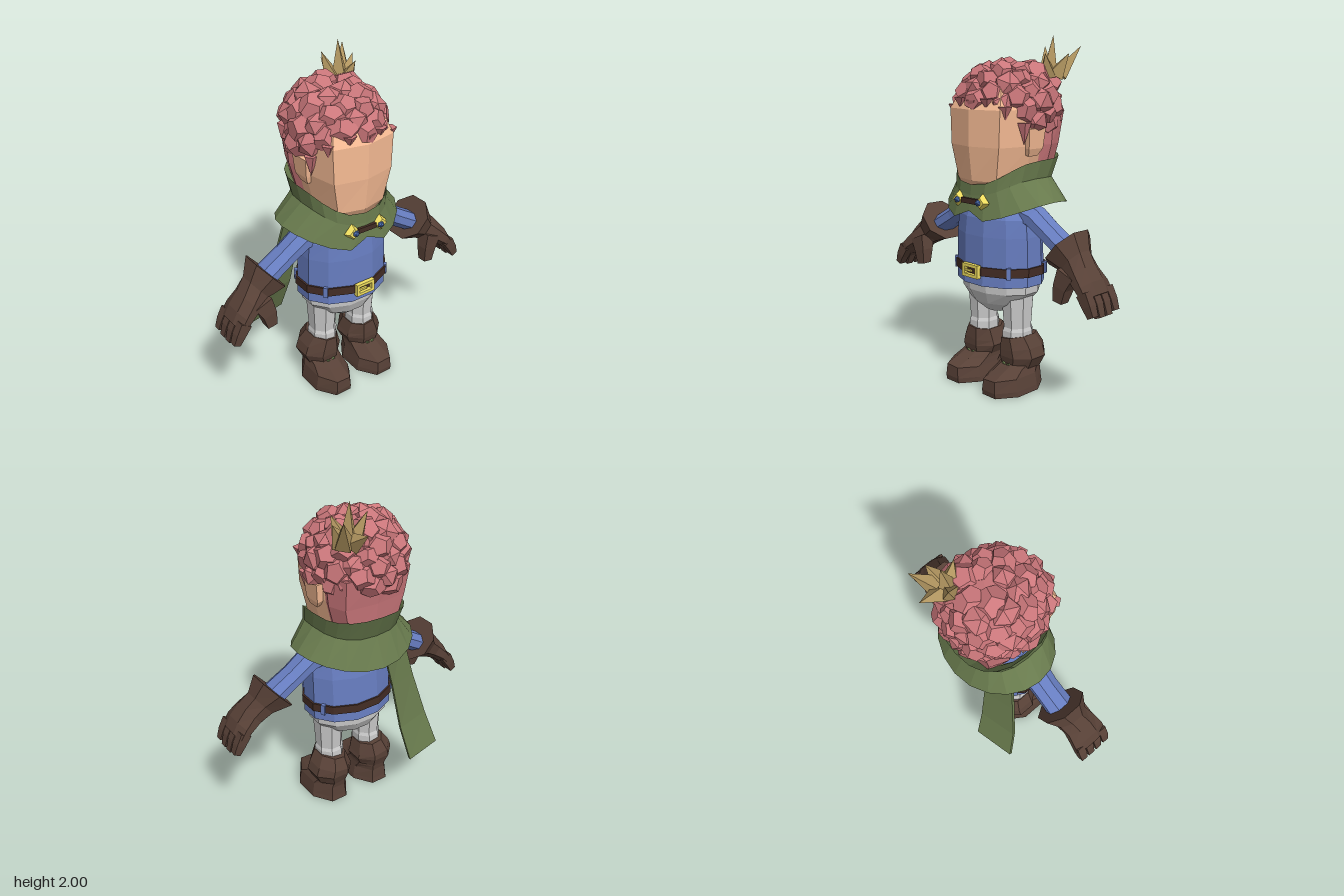
import * as THREE from 'three';

const COLORS = {
  skin: 0xf6bb94, hair: 0xcb777b, green: 0x687a4d, blue: 0x677dc0, brown: 0x584137,
  belt: 0x432c24, gold: 0xb29660, yellow: 0xf0de60, gem: 0x4a6cb0, grey: 0xcccccc,
};
const mats = {};
for (const k in COLORS) {
  mats[k] = new THREE.MeshStandardMaterial({ color: COLORS[k], flatShading: true, side: THREE.DoubleSide });
}

// Skin a list of equal-length point rings, optionally capped at both ends
function loft(rings, caps = true) {
  const pos = [], n = rings[0].length;
  const tri = (...pts) => pts.forEach(p => pos.push(p.x, p.y, p.z));
  for (let i = 0; i + 1 < rings.length; i++) for (let j = 0; j < n; j++) {
    const k = (j + 1) % n, a = rings[i], b = rings[i + 1];
    tri(a[j], a[k], b[k]);
    tri(a[j], b[k], b[j]);
  }
  if (caps) [rings[0], rings[rings.length - 1]].forEach((r, end) => {
    const c = r.reduce((s, p) => s.add(p), new THREE.Vector3()).divideScalar(n);
    r.forEach((p, j) => end ? tri(c, p, r[(j + 1) % n]) : tri(c, r[(j + 1) % n], p));
  });
  const g = new THREE.BufferGeometry();
  g.setAttribute('position', new THREE.Float32BufferAttribute(pos, 3));
  g.computeVertexNormals();
  return g;
}

const pow = (v, p) => Math.sign(v) * Math.abs(v) ** p;

// Limb through sections [x, y, z, half width in x, half thickness across]
function limb(sections, { n = 8, p = 1, turn = 0.5 } = {}) {
  const k = turn ? 1 / Math.cos(Math.PI / n) : 1;
  const c = sections.map(s => new THREE.Vector3(s[0], s[1], s[2]));
  return loft(sections.map((s, i) => {
    const t = c[Math.min(i + 1, c.length - 1)].clone().sub(c[Math.max(i - 1, 0)]);
    const across = new THREE.Vector3(0, t.z, -t.y).normalize();
    return Array.from({ length: n }, (_, j) => {
      const a = (j + turn) / n * Math.PI * 2;
      const q = c[i].clone().addScaledVector(across, pow(Math.sin(a), p) * s[4] * k);
      q.x += pow(Math.cos(a), p) * s[3] * k;
      return q;
    });
  }));
}

function seeded(seed) {
  return () => (seed = (seed * 16807) % 2147483647) / 2147483647;
}

// Cone from a base point to a tip
function spike(from, to, r, sides = 4) {
  const a = new THREE.Vector3(...from), d = new THREE.Vector3(...to).sub(a);
  const g = new THREE.ConeGeometry(r, d.length(), sides).translate(0, d.length() / 2, 0);
  g.applyQuaternion(new THREE.Quaternion().setFromUnitVectors(new THREE.Vector3(0, 1, 0), d.normalize()));
  return g.translate(a.x, a.y, a.z);
}

export function createModel() {
  const model = new THREE.Group();
  const add = (name, geo, mat, parent = model) => {
    const m = new THREE.Mesh(geo, mats[mat]);
    m.name = name;
    parent.add(m);
    return m;
  };

  // Head, with a smooth cap of hair at the nape
  add('head', limb([[.06, 1.13, 0, .18, .14], [.06, 1.21, 0, .23, .185], [.06, 1.4, 0, .25, .23],
    [.05, 1.6, 0, .26, .24], [.04, 1.73, 0, .2, .18]], { p: .54, turn: 0 }), 'skin');
  add('napeHair', limb([[-.09, 1.2, 0, .11, .18], [-.1, 1.4, 0, .125, .235],
    [-.1, 1.58, 0, .16, .25]], { p: .54, turn: 0 }), 'hair');

  // Curly hair: a core covered in chunky faceted lumps above the hairline
  const hair = new THREE.Group();
  hair.name = 'hair';
  model.add(hair);
  add('hairCore', new THREE.IcosahedronGeometry(1, 2).scale(.26, .215, .25).translate(0, 1.62, 0), 'hair', hair);
  const rnd = seeded(41), lumps = 90;
  for (let i = 0; i < lumps; i++) {
    const h = 1 - 2 * (i + .5) / lumps, a = i * 2.39996, r = Math.sqrt(1 - h * h) ** .7;
    const x = Math.cos(a) * r * .243, y = 1.6 + h * .205, z = Math.sin(a) * r * .23;
    const hairline = x < 0 ? 1.5 : 1.5 + x * .6;
    const size = .07 + rnd() * .018;
    if (y < hairline) continue;
    const g = i % 3 ? new THREE.DodecahedronGeometry(size, 0) : new THREE.IcosahedronGeometry(size, 0);
    g.scale(.85 + rnd() * .3, .85 + rnd() * .3, .85 + rnd() * .3);
    g.rotateX(rnd() * 6).rotateY(rnd() * 6).translate(x, y, z);
    add('curl', g, 'hair', hair);
  }
  for (const [x, y, z, len] of [[.285, 1.65, -.01, .08], [.275, 1.66, .1, .06], [.27, 1.66, -.1, .06],
    [.23, 1.62, .2, .08], [.23, 1.62, -.2, .08], [.12, 1.53, .235, .12], [.12, 1.53, -.235, .12]]) {
    add('fringe', spike([x, y, z], [x, y - len, z], .04, 5), 'hair', hair);
  }

  // Small spiky crown on the back right of the head
  const crown = new THREE.Group();
  crown.name = 'crown';
  model.add(crown);
  for (const tip of [[-.19, 2, -.16], [-.34, 1.86, -.15], [-.3, 1.94, -.27], [-.08, 1.9, -.2],
    [-.22, 1.94, -.07], [-.2, 1.9, -.27]]) {
    add('crownPoint', spike([-.17 + (tip[0] + .2) * .3, 1.78, -.16 + (tip[2] + .17) * .4], tip, .058), 'gold', crown);
  }

  // Collar: [centre x, rx, rz, y at front, side, back, roundness]
  const N = 20;
  const collar = [[.05, .2, .2, 1.1, 1.12, 1.1, 1], [.02, .315, .37, .99, 1.1, 1.03, 1],
    [.04, .26, .25, 1.13, 1.22, 1.2, .8], [.01, .285, .26, 1.19, 1.32, 1.34, .8],
    [.04, .22, .22, 1.13, 1.22, 1.22, .8]];
  add('collar', loft(collar.map(([cx, rx, rz, yf, ys, yb, p], i) => Array.from({ length: N }, (_, j) => {
    const a = j / N * Math.PI * 2, f = Math.cos(a);
    const notch = i === 1 && j === 0 ? .055 : 0;
    return new THREE.Vector3(cx + pow(f, p) * rx - notch * .4,
      ys + ((f > 0 ? yf : yb) - ys) * f * f + notch, -pow(Math.sin(a), p) * rz);
  })), false), 'green');

  // Scarf tail: [y, inner x, inner z, outer x, outer z], a thin slanted strip
  const tail = [[.31, -.305, .2, -.25, .45], [.52, -.24, .17, -.185, .4],
    [.8, -.19, .14, -.135, .33], [1.08, -.17, .08, -.1, .27]];
  add('scarfTail', loft(tail.map(([y, x0, z0, x1, z1]) => [[x0 - .008, z0], [x1 - .008, z1],
    [x1 + .008, z1], [x0 + .008, z0]].map(([x, z]) => new THREE.Vector3(x, y, z)))), 'green');

  // Collar clasp
  add('claspStrap', new THREE.BoxGeometry(.02, .03, .12).translate(.306, 1.1, 0), 'belt');

  // Tunic and belt
  add('tunic', limb([[.07, .62, 0, .215, .272], [.07, .7, 0, .21, .272], [.075, .9, 0, .2, .27],
    [.08, 1, 0, .185, .26], [.07, 1.12, 0, .15, .19]], { n: 12 }), 'blue');
  add('belt', limb([[.07, .68, 0, .22, .283], [.07, .73, 0, .218, .283]], { n: 12 }), 'belt');
  const frame = new THREE.Shape([[-.062, -.038], [.062, -.038], [.062, .038], [-.062, .038]]
    .map(q => new THREE.Vector2(...q)));
  frame.holes.push(new THREE.Path([[-.042, -.02], [-.042, .02], [.042, .02], [.042, -.02]]
    .map(q => new THREE.Vector2(...q))));
  add('buckle', new THREE.ExtrudeGeometry(frame, { depth: .025, bevelEnabled: false })
    .rotateY(Math.PI / 2).translate(.288, .702, 0), 'yellow');
  add('bucklePin', new THREE.BoxGeometry(.012, .012, .06).translate(.305, .702, .02), 'yellow');

  // Trouser seat
  add('trouserSeat', limb([[.075, .44, 0, .08, .08], [.07, .5, 0, .15, .18],
    [.065, .57, 0, .185, .245], [.065, .64, 0, .19, .25]], { n: 12 }), 'grey');

  // Everything mirrored on the two sides
  for (const s of [1, -1]) {
    const side = new THREE.Group();
    side.name = s > 0 ? 'positiveSide' : 'negativeSide';
    model.add(side);
    const part = (name, sections, mat, opt) =>
      add(name, limb(sections.map(([x, y, z, w, t]) => [x, y, z * s, w, t]), opt), mat, side);

    part('ear', [[.05, 1.35, .215, .035, .02], [.04, 1.39, .225, .055, .025],
      [.04, 1.5, .235, .065, .025]], 'skin', { n: 4 });
    add('claspPlate', new THREE.CylinderGeometry(.03, .05, .028, 4).rotateZ(-Math.PI / 2)
      .translate(.308, 1.1, s * .095), 'yellow', side);
    add('claspGem', new THREE.IcosahedronGeometry(.02, 0).translate(.322, 1.1, s * .085), 'gem', side);
    for (const a of [.85, 2.1]) {
      add('beltLoop', new THREE.BoxGeometry(.022, .065, .025).rotateY(-s * a)
        .translate(.07 + Math.cos(a) * .222, .705, s * Math.sin(a) * .284), 'blue', side);
    }

    // Sleeve, glove and fingers
    part('sleeve', [[.06, 1.03, .17, .09, .07], [.06, 1.005, .28, .08, .06], [.06, .94, .38, .075, .055],
      [.065, .84, .55, .08, .055]], 'blue');
    part('glove', [[.065, .885, .51, .14, .132], [.08, .82, .585, .095, .085], [.1, .77, .65, .1, .068],
      [.105, .72, .71, .112, .052], [.105, .67, .75, .112, .038]], 'brown');
    [.02, .078, .136, .193].forEach((x, i) => {
      const d = i % 3 ? 0 : .012;
      part('finger', [[x, .7, .73, .025, .034], [x, .64, .767, .026, .028],
        [x, .575 + d, .793, .021, .02]], 'brown', { n: 4 });
    });
    part('thumb', [[.155, .78, .61, .05, .055], [.175, .7, .578, .038, .042],
      [.185, .62, .565, .028, .03]], 'brown', { n: 4 });

    // Leg, boot and folded cuff
    part('leg', [[.07, .28, .14, .09, .078], [.07, .34, .14, .088, .08], [.07, .36, .14, .08, .074],
      [.07, .56, .14, .095, .085]], 'grey');
    part('boot', [[.125, 0, .155, .19, .125], [.13, .03, .155, .19, .122], [.13, .095, .155, .185, .11],
      [.085, .13, .15, .145, .1], [.05, .16, .15, .112, .098], [.05, .24, .15, .11, .095]], 'brown');
    part('bootCuff', [[.05, .135, .15, .115, .1], [.045, .195, .155, .13, .128],
      [.045, .235, .15, .13, .115], [.06, .305, .14, .11, .083]], 'brown');
    for (const t of [-1, 1]) {
      add('lace', new THREE.BoxGeometry(.01, .01, .06).rotateX(t * .5)
        .translate(.175, .145, s * .15), 'green', side);
    }
  }
  return model;
}
